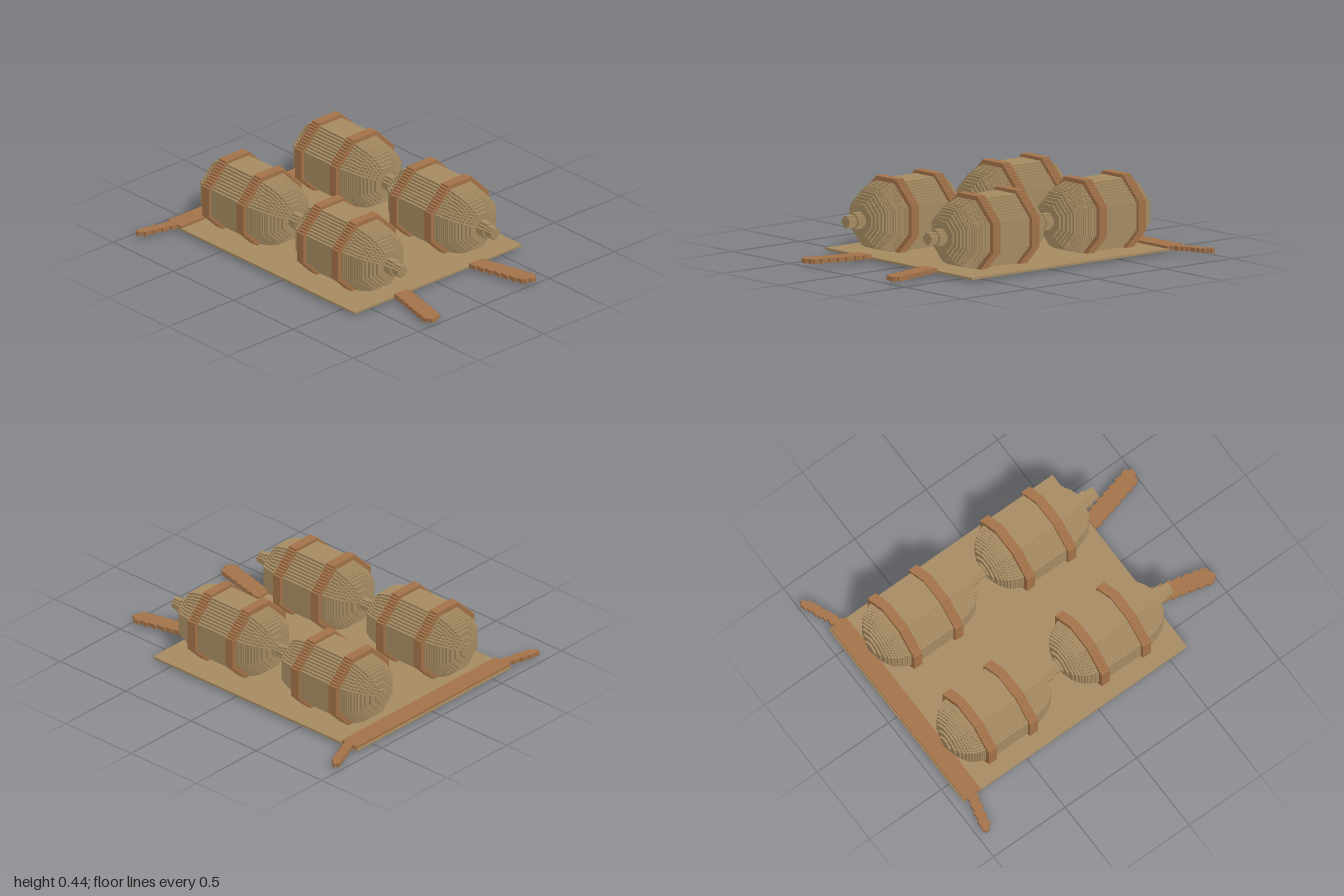
import * as THREE from 'three';

const STEP = 0.0131; // size of one stair step
const AXIS_Y = 0.222; // height of the bundle axis

// Octagon outline whose diagonal sides are stair-stepped
function steppedOctagon(r) {
  const a = r * 0.414;
  const n = Math.max(1, Math.round((r - a) / STEP));
  const d = (r - a) / n;
  const quarter = [];
  for (let i = 0; i < n; i++) {
    quarter.push([r - i * d, a + i * d], [r - (i + 1) * d, a + i * d]);
  }
  quarter.push([a, r]);
  const points = [];
  for (let q = 0; q < 4; q++) {
    for (const [x, y] of quarter) {
      const p = [[x, y], [-y, x], [-x, -y], [y, -x]][q];
      points.push(new THREE.Vector2(p[0], p[1]));
    }
  }
  return new THREE.Shape(points);
}

// One octagonal slice between two z positions
function slice(name, r, z0, z1, material) {
  const geometry = new THREE.ExtrudeGeometry(steppedOctagon(r), { depth: z1 - z0, bevelEnabled: false });
  const mesh = new THREE.Mesh(geometry, material);
  mesh.name = name;
  mesh.position.z = z0;
  return mesh;
}

function box(name, x0, x1, y0, y1, z0, z1, material) {
  const mesh = new THREE.Mesh(new THREE.BoxGeometry(x1 - x0, y1 - y0, z1 - z0), material);
  mesh.name = name;
  mesh.position.set((x0 + x1) / 2, (y0 + y1) / 2, (z0 + z1) / 2);
  return mesh;
}

// Radius along z, from the rear tip to the shoulder
const PROFILE = [
  [-0.08, 0.025], [-0.068, 0.06], [-0.05, 0.105], [-0.03, 0.135], [0, 0.163], [0.05, 0.188],
  [0.1, 0.2], [0.16, 0.203], [0.36, 0.203], [0.41, 0.198], [0.44, 0.19], [0.5, 0.174],
  [0.54, 0.155], [0.57, 0.122], [0.6, 0.08],
];

function radiusAt(z) {
  for (let i = 1; i < PROFILE.length; i++) {
    const [z0, r0] = PROFILE[i - 1];
    const [z1, r1] = PROFILE[i];
    if (z <= z1) return r0 + ((r1 - r0) * (z - z0)) / (z1 - z0);
  }
  return PROFILE[PROFILE.length - 1][1];
}

function makeBundle(cloth, leather) {
  const bundle = new THREE.Group();
  bundle.name = 'bundle';
  const taper = (from, to) => {
    const n = Math.round((to - from) / STEP);
    const d = (to - from) / n;
    for (let i = 0; i < n; i++) {
      const z = from + i * d;
      bundle.add(slice('bundleTaper', radiusAt(z + d / 2), z, z + d, cloth));
    }
  };
  taper(-0.08, 0.1);
  bundle.add(slice('bundleBody', 0.203, 0.1, 0.385, cloth));
  taper(0.385, 0.6);
  // Tied neck
  bundle.add(slice('neckCollar', 0.046, 0.6, 0.655, cloth));
  bundle.add(slice('neckTip', 0.035, 0.655, 0.71, cloth));
  // Straps around the body
  for (const z of [0.097, 0.385]) {
    bundle.add(slice('bundleStrap', 0.222, z - 0.028, z + 0.028, leather));
  }
  return bundle;
}

// Flat strap laid out as a staircase of boxes between two points in x and z
function steppedStrap(name, from, to, width, material) {
  const strap = new THREE.Group();
  strap.name = name;
  const alongZ = Math.abs(to[1] - from[1]) > Math.abs(to[0] - from[0]);
  const main = alongZ ? 1 : 0;
  const length = to[main] - from[main];
  const n = Math.round(Math.abs(length) / STEP);
  for (let i = 0; i < n; i++) {
    const a = from[main] + (length * i) / n;
    const b = from[main] + (length * (i + 1)) / n;
    const t = (i + 0.5) / n;
    const other = from[1 - main] + (to[1 - main] - from[1 - main]) * t;
    const c = Math.round(other / STEP) * STEP;
    // the far end narrows to a corner
    const left = n - 1 - i;
    const half = (width / 2) * (left === 0 ? 0.35 : left === 1 ? 0.75 : 1);
    const lo = Math.min(a, b);
    const hi = Math.max(a, b);
    strap.add(alongZ
      ? box('strapStep', c - half, c + half, 0.018, 0.043, lo, hi, material)
      : box('strapStep', lo, hi, 0.018, 0.043, c - half, c + half, material));
  }
  return strap;
}

export function createModel() {
  const cloth = new THREE.MeshStandardMaterial({ color: 0xa88d63 });
  cloth.name = 'tan cloth';
  const leather = new THREE.MeshStandardMaterial({ color: 0xa6744a });
  leather.name = 'brown leather';

  const model = new THREE.Group();
  model.name = 'bundlesOnMat';

  // Mat and the band across its back edge
  model.add(box('mat', -0.64, 0.64, 0.015, 0.028, -0.945, 0.62, cloth));
  model.add(box('backBand', -0.64, 0.64, 0.026, 0.043, -0.938, -0.825, leather));

  // Four bundles in two rows
  for (const x of [-0.355, 0.355]) {
    for (const z of [0, -0.79]) {
      const bundle = makeBundle(cloth, leather);
      bundle.position.set(x, AXIS_Y, z);
      model.add(bundle);
    }
  }

  // Loose straps at the front
  for (const side of [-1, 1]) {
    model.add(steppedStrap('frontStrap', [side * 0.283, 0.62], [side * 0.376, 1], 0.103, leather));
  }
  // Loose straps at the back corners
  model.add(steppedStrap('backStrapLeft', [0.64, -0.876], [0.868, -0.972], 0.056, leather));
  model.add(steppedStrap('backStrapRight', [-0.64, -0.885], [-0.868, -0.945], 0.056, leather));
  return model;
}
